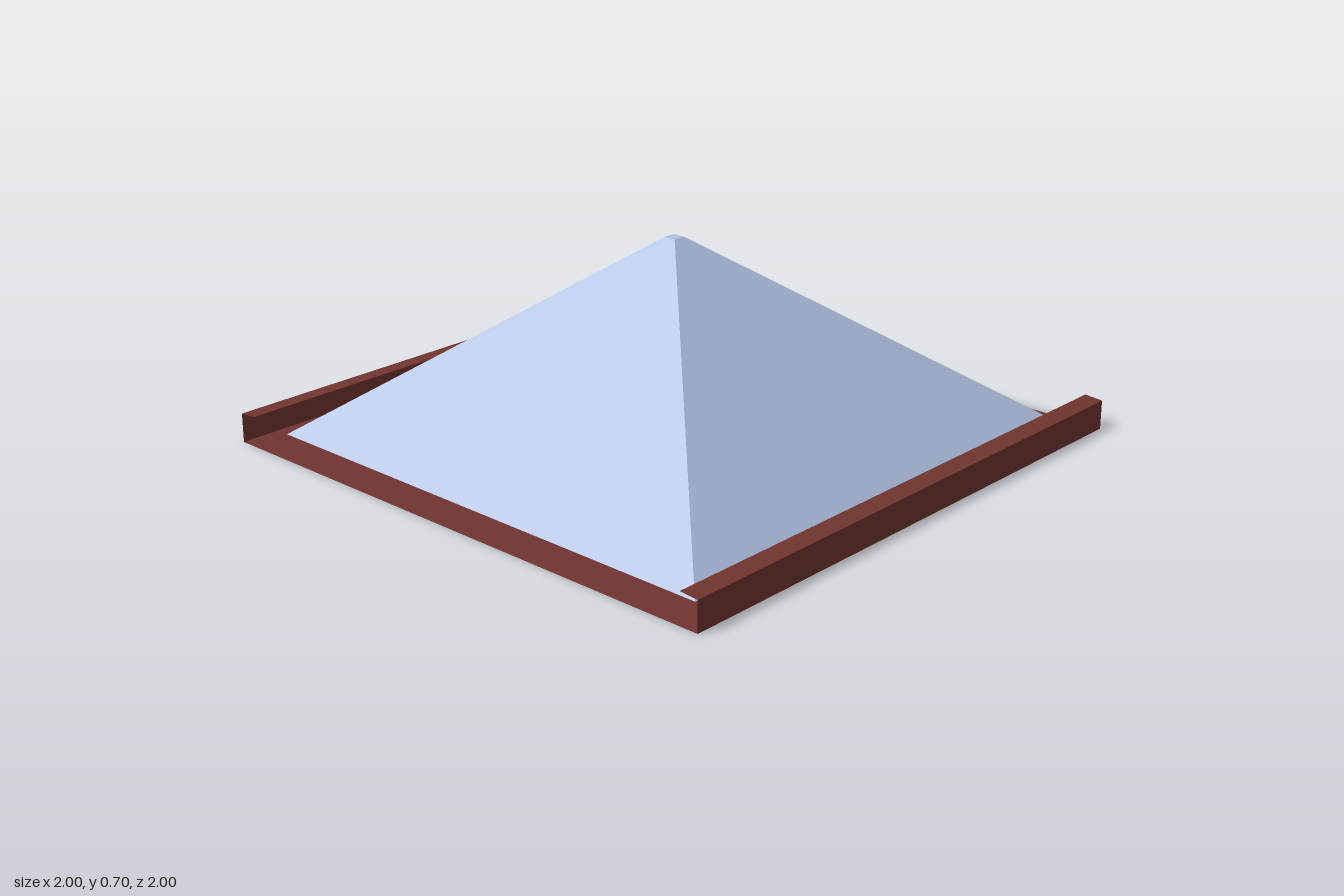
import * as THREE from 'three';

// Thin folded sheet: a (z, y) profile swept along x from -1 to 1
function foldedSheet(profile) {
  const positions = [];
  for (let i = 0; i < profile.length - 1; i++) {
    const [z0, y0] = profile[i];
    const [z1, y1] = profile[i + 1];
    positions.push(
      -1, y0, z0, -1, y1, z1, 1, y1, z1,
      -1, y0, z0, 1, y1, z1, 1, y0, z0
    );
  }
  const geometry = new THREE.BufferGeometry();
  geometry.setAttribute('position', new THREE.Float32BufferAttribute(positions, 3));
  geometry.computeVertexNormals();
  return geometry;
}

// Box whose top is shrunk to a tiny off-centre cap
function skewPyramid(halfBase, halfTop, bottom, top, apexX, apexZ) {
  const geometry = new THREE.BoxGeometry(2, 2, 2);
  const p = geometry.attributes.position;
  for (let i = 0; i < p.count; i++) {
    const x = p.getX(i), z = p.getZ(i);
    if (p.getY(i) > 0) p.setXYZ(i, apexX + x * halfTop, top, apexZ + z * halfTop);
    else p.setXYZ(i, x * halfBase, bottom, z * halfBase);
  }
  geometry.computeVertexNormals();
  return geometry;
}

export function createModel() {
  const model = new THREE.Group();
  model.name = 'pyramidOnTray';

  // Tray: floor, front and back walls, narrow lips turned inward
  const tray = new THREE.Mesh(
    foldedSheet([
      [-0.935, 0.105], [-1, 0.1], [-1, 0], [1, 0], [1, 0.1], [0.935, 0.105]
    ]),
    new THREE.MeshStandardMaterial({ color: 0x703530, side: THREE.DoubleSide, flatShading: true })
  );
  tray.name = 'tray';
  model.add(tray);

  // Four-sided pyramid hovering just above the tray floor
  const pyramid = new THREE.Mesh(
    skewPyramid(0.9, 0.022, 0.025, 0.705, -0.058, 0.048),
    new THREE.MeshStandardMaterial({ color: 0xb0bfe0, flatShading: true })
  );
  pyramid.name = 'pyramid';
  model.add(pyramid);

  return model;
}
